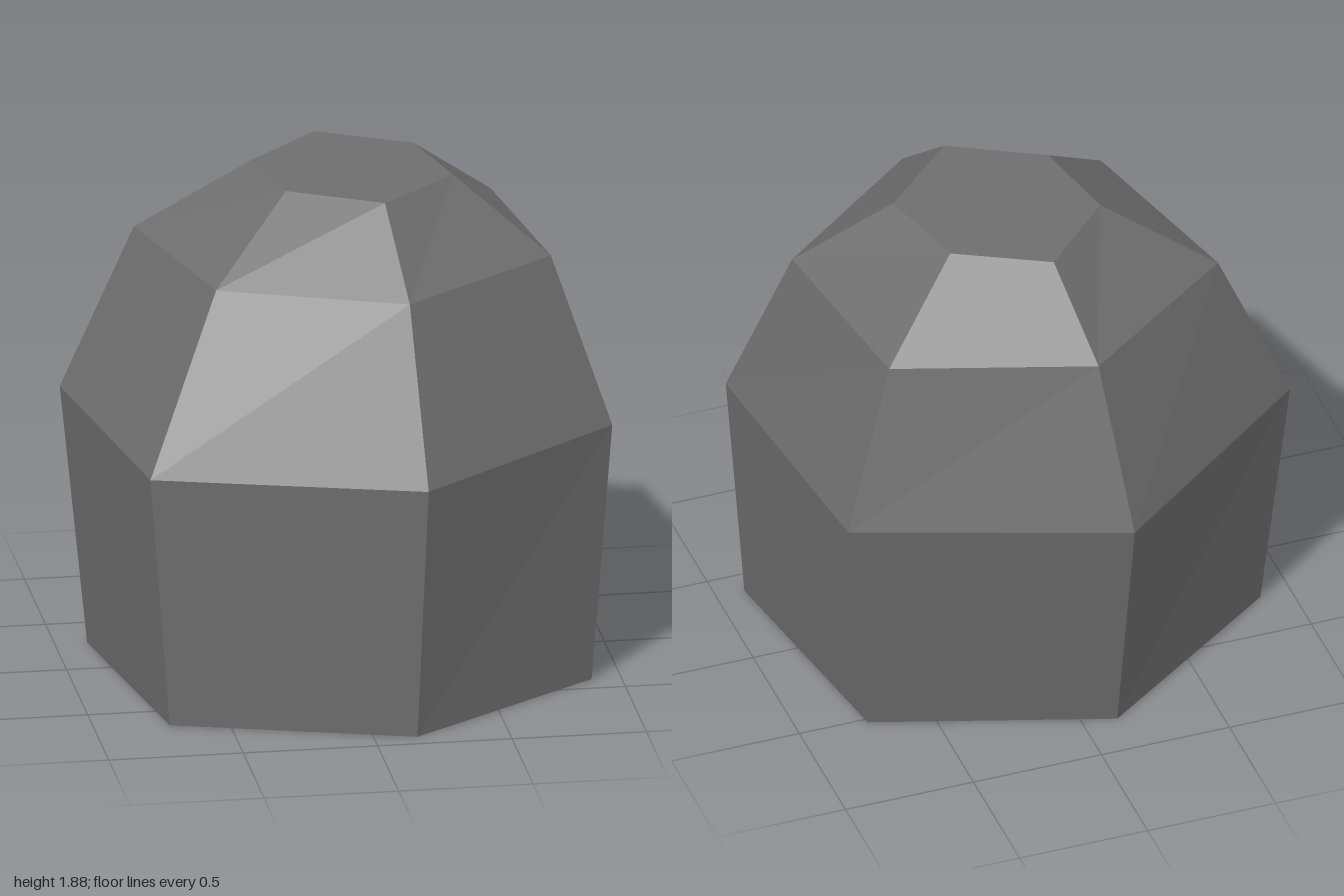
import * as THREE from 'three';

// Six-sided rock: horizontal cross-sections, each listed clockwise from above as [x, z]
const RINGS = [
  { y: 0.0, pts: [[-0.13, -0.81], [0.74, -0.52], [0.89, 0.4], [0.16, 0.925], [-0.72, 0.66], [-0.88, -0.28]] },
  { y: 0.98, pts: [[-0.13, -1.0], [0.86, -0.64], [0.97, 0.38], [0.19, 1.0], [-0.8, 0.715], [-0.97, -0.355]] },
  { y: 1.6, pts: [[-0.07, -0.775], [0.66, -0.53], [0.765, 0.23], [0.17, 0.68], [-0.51, 0.42], [-0.7, -0.32]] },
  { y: 1.88, pts: [[-0.005, -0.47], [0.335, -0.29], [0.425, 0.075], [0.13, 0.345], [-0.21, 0.16], [-0.285, -0.195]] },
];

function loftGeometry(rings) {
  const positions = [];
  const loops = rings.map(({ y, pts }) => pts.map(([x, z]) => [x, y, z]));
  const tri = (a, b, c) => positions.push(...a, ...b, ...c);
  const n = loops[0].length;

  // Sides between neighbouring sections
  for (let r = 0; r < loops.length - 1; r++) {
    const low = loops[r], up = loops[r + 1];
    for (let i = 0; i < n; i++) {
      const j = (i + 1) % n;
      tri(low[j], low[i], up[i]);
      tri(low[j], up[i], up[j]);
    }
  }

  // Flat base and top
  const base = loops[0], top = loops[loops.length - 1];
  for (let i = 1; i < n - 1; i++) {
    tri(base[0], base[i], base[i + 1]);
    tri(top[0], top[i + 1], top[i]);
  }

  // Unshared corners give each facet its own flat normal
  const geometry = new THREE.BufferGeometry();
  geometry.setAttribute('position', new THREE.Float32BufferAttribute(positions, 3));
  geometry.computeVertexNormals();
  return geometry;
}

export function createModel() {
  const stone = new THREE.MeshStandardMaterial({ color: 0x6e6e6e });
  stone.name = 'stoneGrey';
  stone.flatShading = true;

  const rock = new THREE.Mesh(loftGeometry(RINGS), stone);
  rock.name = 'rock';

  const group = new THREE.Group();
  group.name = 'facetedRock';
  group.add(rock);
  return group;
}
